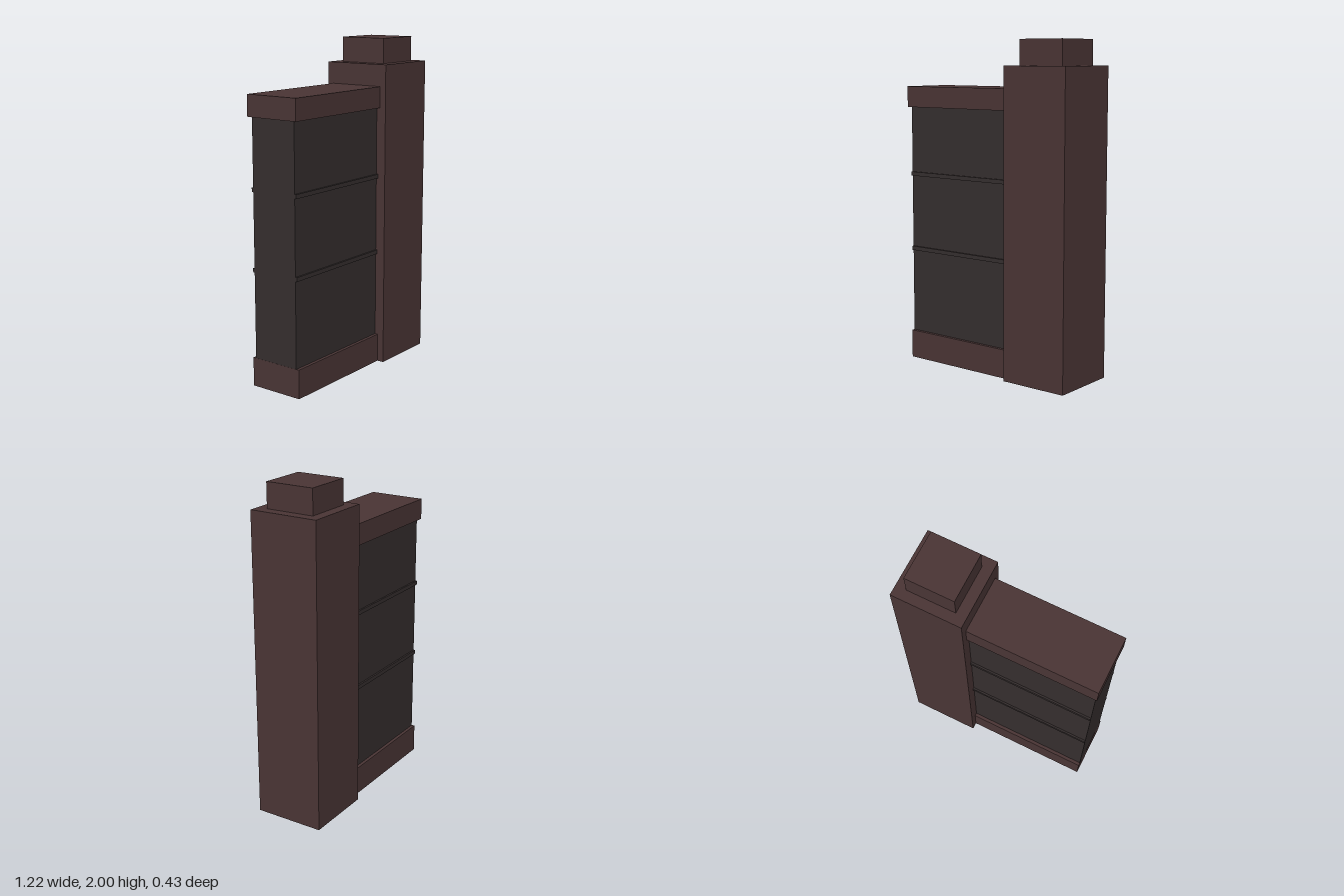
import * as THREE from 'three';

const brown = new THREE.MeshStandardMaterial({ color: 0x4a3535, side: THREE.DoubleSide });
brown.name = 'dark brown trim';
const charcoal = new THREE.MeshStandardMaterial({ color: 0x352e2e, side: THREE.DoubleSide });
charcoal.name = 'charcoal panel';

// Box given by its limits; an open box has no underside
function box(name, material, [x0, x1], [y0, y1], [z0, z1], open = false) {
  const geometry = new THREE.BoxGeometry(x1 - x0, y1 - y0, z1 - z0);
  if (open) {
    const index = Array.from(geometry.index.array);
    index.splice(18, 6); // the -y face
    geometry.setIndex(index);
    geometry.clearGroups();
  }
  geometry.translate((x0 + x1) / 2, (y0 + y1) / 2, (z0 + z1) / 2);
  const mesh = new THREE.Mesh(geometry, material);
  mesh.name = name;
  return mesh;
}

export function createModel() {
  const model = new THREE.Group();
  model.name = 'wallWithPillar';

  // Pillar, hollow underneath, with a smaller block on top
  model.add(box('pillar', brown, [0.177, 0.605], [0, 1.85], [-0.214, 0.214], true));
  model.add(box('pillarTop', brown, [0.242, 0.54], [1.85, 2], [-0.151, 0.151], true));

  // Wall: hollow plinth, panel and coping, all running into the pillar
  model.add(box('plinth', brown, [-0.598, 0.25], [0, 0.175], [-0.172, 0.172], true));
  model.add(box('panel', charcoal, [-0.597, 0.25], [0.16, 1.6], [-0.152, 0.152]));
  model.add(box('coping', brown, [-0.61, 0.25], [1.593, 1.72], [-0.175, 0.175]));

  // Thin rails across both faces of the panel
  for (const y of [0.693, 1.165]) {
    for (const side of [-1, 1]) {
      const z = [0.152 * side, 0.163 * side].sort((a, b) => a - b);
      model.add(box('rail', charcoal, [-0.597, 0.25], [y, y + 0.025], z));
    }
  }
  return model;
}
